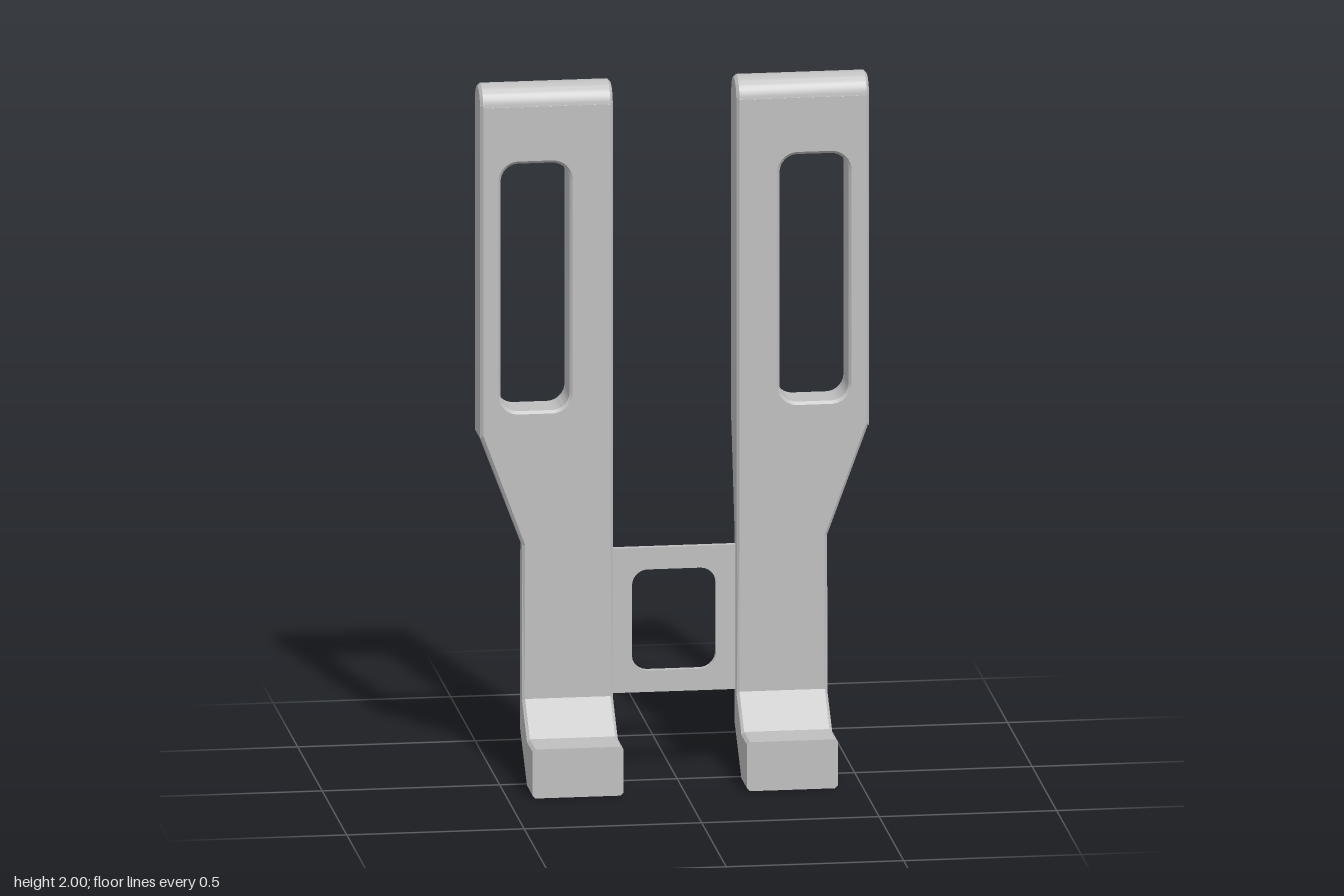
import * as THREE from 'three';
import { toCreasedNormals } from 'three/addons/utils/BufferGeometryUtils.js';

const INNER = 0.174, OUTER = 0.548, LEG_OUTER = 0.43;
const FRONT = -0.045, BACK = -0.165, BEVEL = 0.008;

// Rectangle with optional corner radius, for outlines and holes
function roundedRect(path, x0, y0, x1, y1, r) {
  path.moveTo(x0 + r, y0);
  path.lineTo(x1 - r, y0);
  path.absarc(x1 - r, y0 + r, r, -Math.PI / 2, 0);
  path.lineTo(x1, y1 - r);
  path.absarc(x1 - r, y1 - r, r, 0, Math.PI / 2);
  path.lineTo(x0 + r, y1);
  path.absarc(x0 + r, y1 - r, r, Math.PI / 2, Math.PI);
  path.lineTo(x0, y0 + r);
  path.absarc(x0 + r, y0 + r, r, Math.PI, Math.PI * 1.5);
  return path;
}

function rectShape(x0, y0, x1, y1) {
  return new THREE.Shape([[x0, y0], [x1, y0], [x1, y1], [x0, y1]].map(p => new THREE.Vector2(...p)));
}

// Foot, leg and flare: chamfered rectangles swept from the toe upwards
function legGeometry() {
  // front z, front y, back z, back y, outer x
  const stations = [
    [0.167, 0.145, 0.167, 0.004, LEG_OUTER],
    [0.05, 0.145, 0.05, 0.004, LEG_OUTER],
    [FRONT, 0.237, -0.095, 0.135, LEG_OUTER],
    [FRONT, 0.68, -0.095, 0.68, LEG_OUTER],
    [FRONT, 1, BACK, 1, OUTER],
  ];
  const positions = [], index = [], n = 8, c = BEVEL;
  for (const [fz, fy, bz, by, x1] of stations) {
    const f = new THREE.Vector2(fz, fy), b = new THREE.Vector2(bz, by);
    const d = f.clone().sub(b).setLength(c);
    const f2 = f.clone().sub(d), b2 = b.clone().add(d);
    const ring = [[INNER + c, f], [x1 - c, f], [x1, f2], [x1, b2],
      [x1 - c, b], [INNER + c, b], [INNER, b2], [INNER, f2]];
    for (const [x, p] of ring) positions.push(x, p.y, p.x);
  }
  for (let i = 0; i < stations.length - 1; i++) {
    for (let k = 0; k < n; k++) {
      const a = i * n + k, b = i * n + (k + 1) % n;
      index.push(a, b, b + n, a, b + n, a + n);
    }
  }
  for (let k = 1; k < n - 1; k++) index.push(0, k + 1, k);
  const geometry = new THREE.BufferGeometry();
  geometry.setAttribute('position', new THREE.Float32BufferAttribute(positions, 3));
  geometry.setIndex(index);
  const flat = geometry.toNonIndexed();
  flat.computeVertexNormals();
  return flat;
}

// Thick upper plate with a long slot
function paddleGeometry() {
  const shape = rectShape(INNER, 0.99, OUTER, 1.95);
  shape.holes.push(roundedRect(new THREE.Path(), 0.296, 1.065, 0.49, 1.778, 0.05));
  const geometry = new THREE.ExtrudeGeometry(shape, {
    depth: FRONT - BACK - 2 * BEVEL, bevelThickness: BEVEL, bevelSize: BEVEL,
    bevelOffset: -BEVEL, bevelSegments: 1, curveSegments: 8,
  });
  geometry.translate(0, 0, BACK + BEVEL);
  return toCreasedNormals(geometry, 0.5);
}

// Half-round top with chamfered ends
function capGeometry() {
  const r = (FRONT - BACK) / 2, h = (OUTER - INNER) / 2;
  const profile = [[0, -h], [r - BEVEL, -h], [r, -h + BEVEL], [r, h - BEVEL], [r - BEVEL, h], [0, h]];
  const geometry = new THREE.LatheGeometry(profile.map(p => new THREE.Vector2(...p)), 20, 0, Math.PI);
  geometry.rotateZ(Math.PI / 2);
  geometry.translate((INNER + OUTER) / 2, 2 - r, (FRONT + BACK) / 2);
  return toCreasedNormals(geometry, 0.5);
}

// Thin link between the legs with a square window
function bridgeGeometry() {
  const shape = rectShape(-INNER - 0.002, 0.24, INNER + 0.002, 0.656);
  shape.holes.push(roundedRect(new THREE.Path(), -0.118, 0.302, 0.118, 0.593, 0.045));
  const geometry = new THREE.ExtrudeGeometry(shape, { depth: 0.018, bevelEnabled: false, curveSegments: 8 });
  geometry.translate(0, 0, -0.083);
  return toCreasedNormals(geometry, 0.5);
}

export function createModel() {
  const grey = new THREE.MeshStandardMaterial({ color: 0xbfbfbf, side: THREE.DoubleSide });
  grey.name = 'light grey';
  const model = new THREE.Group();
  model.name = 'doubleHookBracket';

  const add = (parent, name, geometry) => {
    const mesh = new THREE.Mesh(geometry, grey);
    mesh.name = name;
    parent.add(mesh);
  };

  // Two mirrored arms
  const parts = { hookedLeg: legGeometry(), slottedPaddle: paddleGeometry(), roundedTop: capGeometry() };
  for (const [name, side] of [['leftArm', 1], ['rightArm', -1]]) {
    const arm = new THREE.Group();
    arm.name = name;
    arm.scale.x = side;
    for (const [part, geometry] of Object.entries(parts)) add(arm, part, geometry);
    model.add(arm);
  }

  add(model, 'bridge', bridgeGeometry());
  return model;
}
